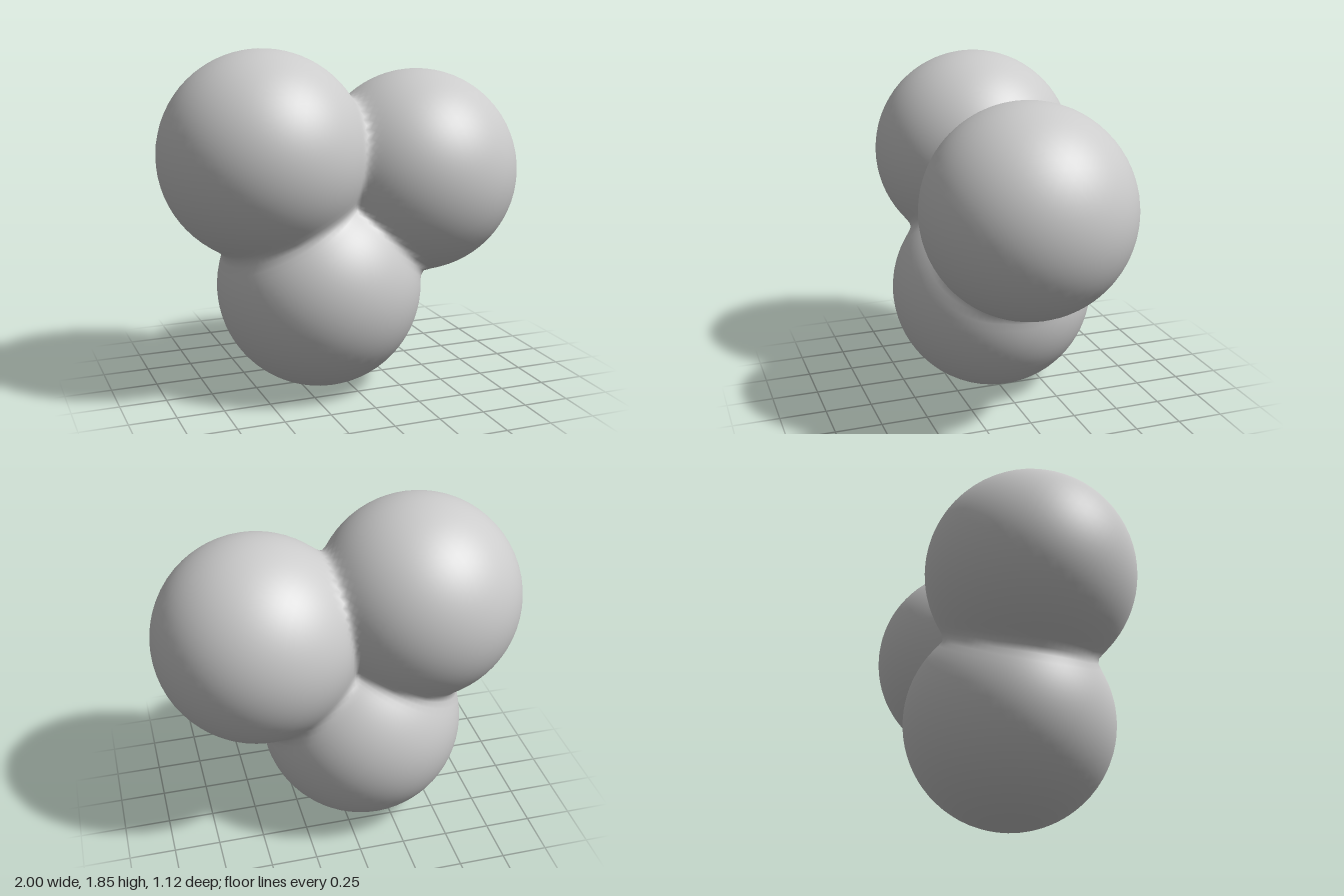
import * as THREE from 'three';
import { mergeVertices } from 'three/addons/utils/BufferGeometryUtils.js';

// The three lobes, all of one radius
const RADIUS = 0.558;
const LOBES = [
  new THREE.Vector3(-0.442, 1.292, 0), // upper right
  new THREE.Vector3(0.442, 1.162, 0), // upper left
  new THREE.Vector3(-0.132, 0.562, 0), // bottom
];
const BLEND = 0.03; // softness of the seams

// Distance along a ray from a point inside a lobe to the lobe's skin
function exitDistance(origin, dir, lobe) {
  const toLobe = lobe.clone().sub(origin);
  const along = toLobe.dot(dir);
  return along + Math.sqrt(along * along - toLobe.lengthSq() + RADIUS * RADIUS);
}

// Smooth maximum, so neighbouring lobes melt together in a small fillet
function smoothMax(values) {
  const top = Math.max(...values);
  const sum = values.reduce((s, v) => s + Math.exp((v - top) / BLEND), 0);
  return top + BLEND * Math.log(sum);
}

export function createModel() {
  const group = new THREE.Group();
  group.name = 'threeLobedCluster';

  // The middle lies inside every lobe, so one sphere can be pushed out to the joint skin
  const middle = new THREE.Vector3();
  LOBES.forEach((c) => middle.addScaledVector(c, 1 / LOBES.length));

  let skin = new THREE.IcosahedronGeometry(1, 20);
  skin.deleteAttribute('uv');
  skin.deleteAttribute('normal');
  skin = mergeVertices(skin, 1e-4);

  const pos = skin.attributes.position;
  const dir = new THREE.Vector3();
  for (let i = 0; i < pos.count; i++) {
    dir.fromBufferAttribute(pos, i).normalize();
    const reach = smoothMax(LOBES.map((lobe) => exitDistance(middle, dir, lobe)));
    dir.multiplyScalar(reach).add(middle);
    pos.setXYZ(i, dir.x, dir.y, dir.z);
  }
  skin.computeVertexNormals();

  const mesh = new THREE.Mesh(skin, new THREE.MeshStandardMaterial({ color: 0xcccccc }));
  mesh.name = 'blendedLobes';
  group.add(mesh);
  return group;
}
